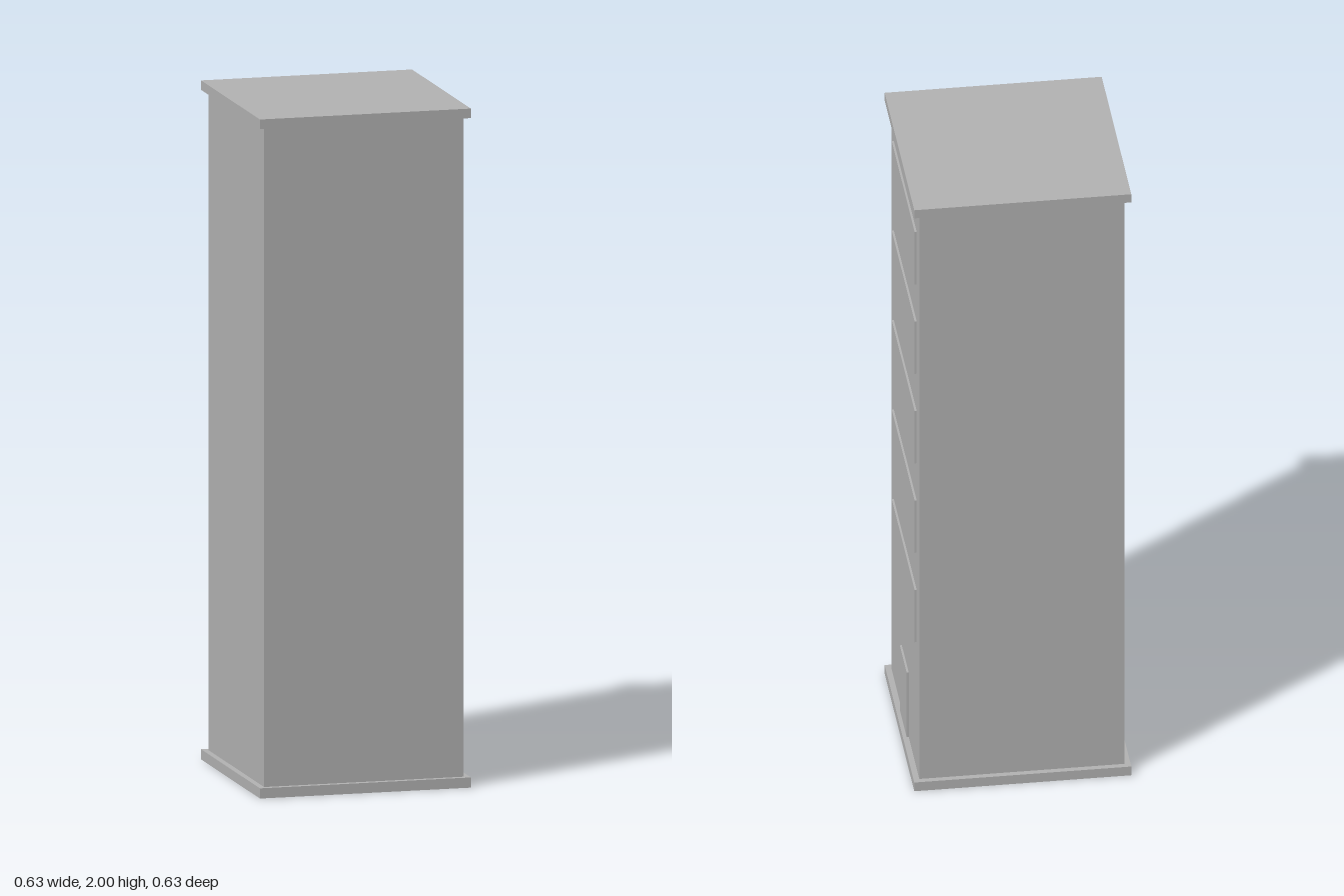
import * as THREE from 'three';

export function createModel() {
  const group = new THREE.Group();
  const concrete = new THREE.MeshStandardMaterial({ color: 0xb3b3b3 });
  concrete.name = 'concrete grey';

  // Box given by its size, horizontal offset x and bottom height
  const addBox = (name, w, h, d, x, bottom) => {
    const mesh = new THREE.Mesh(new THREE.BoxGeometry(w, h, d), concrete);
    mesh.name = name;
    mesh.position.set(x, bottom + h / 2, 0);
    group.add(mesh);
  };

  // Base slab, tower and roof slab
  addBox('baseSlab', 0.634, 0.03, 0.634, 0, 0);
  addBox('tower', 0.6, 1.942, 0.6, 0, 0.03);
  addBox('roofSlab', 0.634, 0.028, 0.634, 0, 1.972);

  // Entrance and one wide window per upper floor, on the left (+x) wall
  const wall = 0.3;
  const relief = 0.006;
  addBox('door', relief, 0.222, 0.148, wall + relief / 2, 0.03);
  for (let i = 0; i < 5; i++) {
    addBox(`window${i + 1}`, relief, 0.18, 0.49, wall + relief / 2, 0.466 + i * 0.308);
  }

  return group;
}
